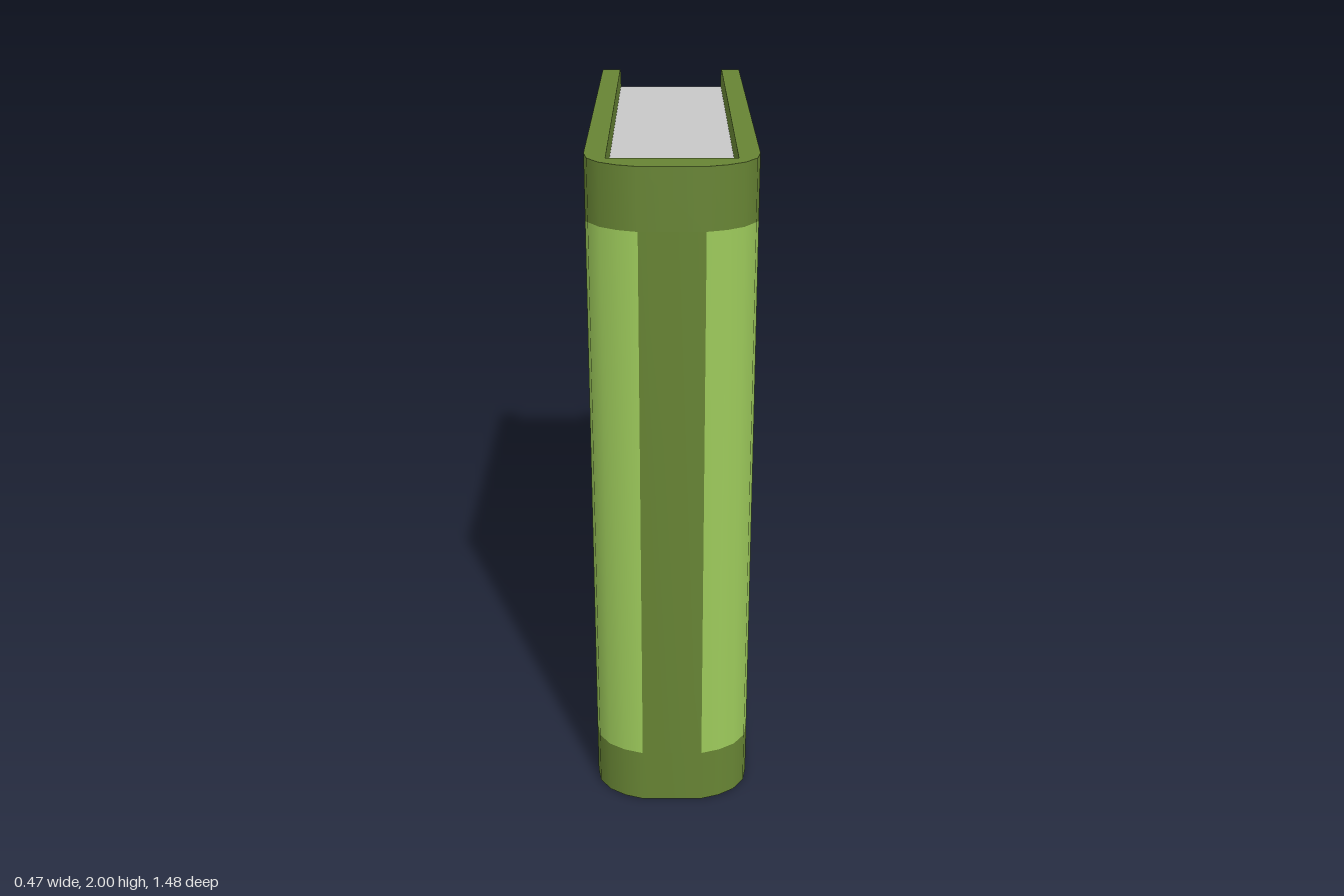
import * as THREE from 'three';
import { toCreasedNormals } from 'three/addons/utils/BufferGeometryUtils.js';

const mat = (name, color) => new THREE.MeshStandardMaterial({ name, color });

// Stations running from the back edge of the +x board to the middle of the spine:
// outer point (x, z), inner point (ix, iz), half height h, half height p of the light panel
function halfStations() {
  const X = 0.235, IX = 0.175, IZ = 0.645, R = 0.09, list = [];
  for (let i = 0; i <= 6; i++) { // rounded back corners
    const a = (i / 6) * Math.PI / 2, z = -0.74 + R * (1 - Math.cos(a));
    list.push({ x: X, z, ix: IX, iz: z, h: 1 - R * (1 - Math.sin(a)), p: 0.8 });
  }
  const add = (x, z, iz, p, light) => list.push({ x, z, ix: IX, iz, h: 1, p, light });
  add(X, -0.59, -0.59, 0.8, true);
  add(X, 0.53, 0.53, 0.8, true);
  add(X, 0.59, 0.59, 0.814, true);
  add(0.225, 0.645, IZ, 0.827, true); // rounded spine corner
  add(0.192, 0.69, IZ, 0.827, true);
  add(0.145, 0.72, IZ, 0.827, true);
  add(0.09, 0.738, IZ, 0.827, true);
  return list;
}

function allStations() {
  const half = halfStations();
  const other = half.map(s => ({ ...s, x: -s.x, ix: -s.ix })).reverse();
  return [...half, ...other];
}

// Smooth outside of the cover, with the light panels as a second material group
function outerCover(st) {
  const pos = [], dark = [], light = [];
  for (const s of st) for (const y of [-s.h, -s.p, s.p, s.h]) pos.push(s.x, 1 + y, s.z);
  for (let i = 0; i < st.length - 1; i++) {
    const panel = st[i].light && st[i + 1].light && st[i].x * st[i + 1].x > 0;
    for (let r = 0; r < 3; r++) {
      const a = i * 4 + r, b = a + 4;
      (panel && r === 1 ? light : dark).push(a, a + 1, b + 1, a, b + 1, b);
    }
  }
  const g = new THREE.BufferGeometry();
  g.setAttribute('position', new THREE.Float32BufferAttribute(pos, 3));
  g.setIndex([...dark, ...light]);
  g.addGroup(0, dark.length, 0);
  g.addGroup(dark.length, light.length, 1);
  g.computeVertexNormals();
  return g;
}

// Inside walls, top and bottom rims and back edges of the cover
function innerCover(st) {
  const pos = [];
  const quad = (a, b, c, d) => pos.push(...a, ...b, ...c, ...a, ...c, ...d);
  const out = (s, k) => [s.x, 1 + k * s.h, s.z];
  const inn = (s, k) => [s.ix, 1 + k * s.h, s.iz];
  for (let i = 0; i < st.length - 1; i++) {
    const s = st[i], t = st[i + 1];
    if (s.ix !== t.ix || s.iz !== t.iz) quad(inn(s, -1), inn(t, -1), inn(t, 1), inn(s, 1));
    quad(out(s, 1), inn(s, 1), inn(t, 1), out(t, 1));
    quad(out(s, -1), out(t, -1), inn(t, -1), inn(s, -1));
  }
  const f = st[0], l = st[st.length - 1];
  quad(out(f, -1), inn(f, -1), inn(f, 1), out(f, 1));
  quad(inn(l, -1), out(l, -1), out(l, 1), inn(l, 1));
  const g = new THREE.BufferGeometry();
  g.setAttribute('position', new THREE.Float32BufferAttribute(pos, 3));
  return toCreasedNormals(g, 0.6);
}

export function createModel() {
  const darkGreen = mat('darkGreen', 0x678434);
  const lightGreen = mat('lightGreen', 0x9dca5b);
  const paper = mat('paper', 0xc8c8c8);

  const book = new THREE.Group();
  book.name = 'book';
  const add = (name, geometry, material) => {
    const m = new THREE.Mesh(geometry, material);
    m.name = name;
    book.add(m);
    return m;
  };

  const st = allStations();
  add('coverOutside', outerCover(st), [darkGreen, lightGreen]);
  add('coverInsideAndEdges', innerCover(st), darkGreen);

  // Page block, set back from the cover edges
  add('pages', new THREE.BoxGeometry(0.35, 1.87, 1.335), paper).position.set(0, 1, -0.0225);
  return book;
}
